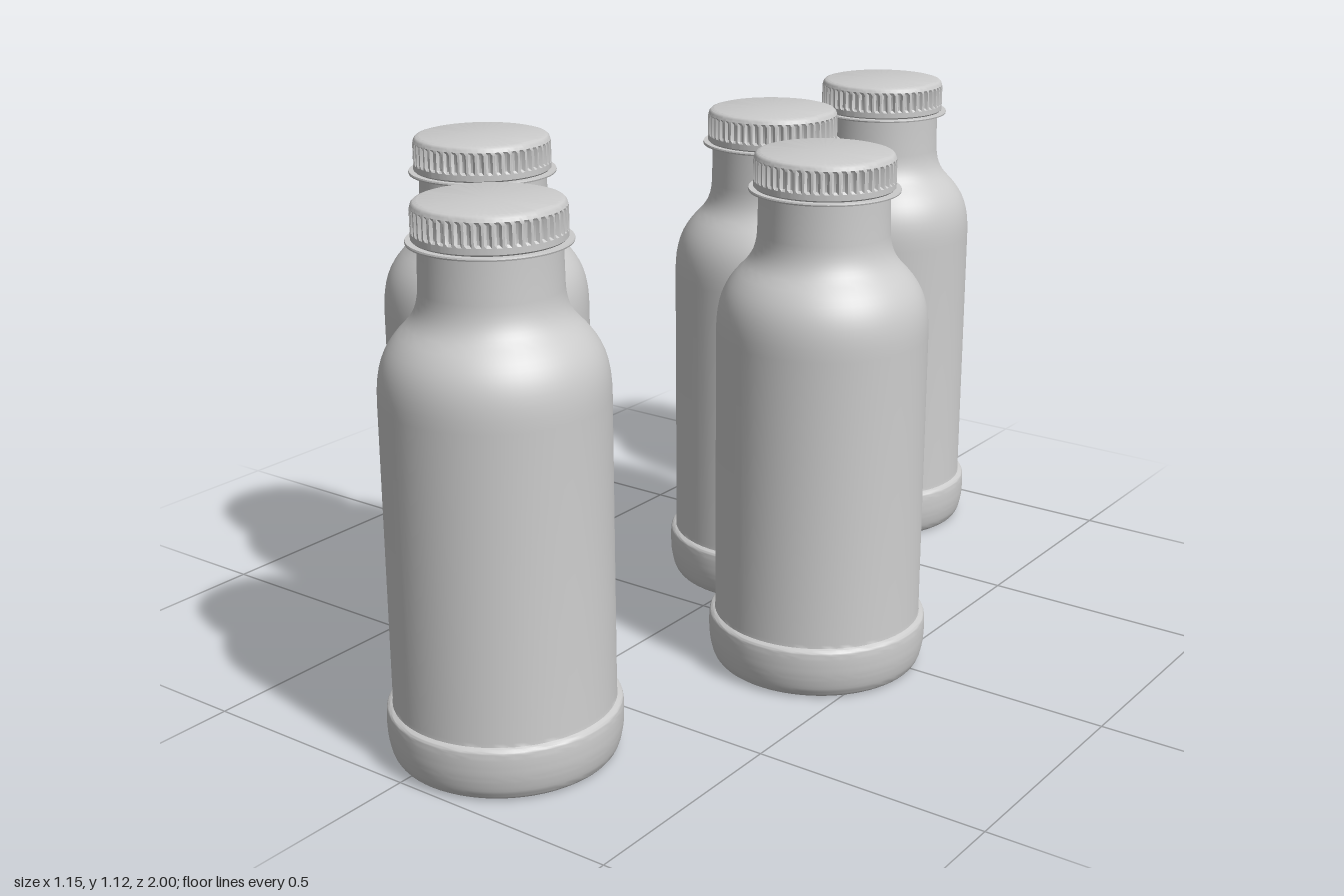
import * as THREE from 'three';
import { toCreasedNormals } from 'three/addons/utils/BufferGeometryUtils.js';

const material = new THREE.MeshStandardMaterial({ color: 0xcccccc });

// Bottle: flat underside, bulging foot band, straight wall, round shoulder, neck
function bottleGeometry() {
  const p = new THREE.Path();
  p.moveTo(0, 0.004);
  p.lineTo(0.2, 0.004);
  p.bezierCurveTo(0.222, 0, 0.228, 0.02, 0.232, 0.045);
  p.bezierCurveTo(0.235, 0.06, 0.235, 0.085, 0.234, 0.1);
  p.bezierCurveTo(0.234, 0.112, 0.23, 0.115, 0.222, 0.117);
  p.lineTo(0.221, 0.125);
  p.lineTo(0.221, 0.74);
  p.bezierCurveTo(0.221, 0.81, 0.206, 0.84, 0.178, 0.872);
  p.bezierCurveTo(0.155, 0.895, 0.14, 0.91, 0.137, 0.955);
  p.lineTo(0.135, 1.05);
  p.lineTo(0, 1.05);
  return toCreasedNormals(new THREE.LatheGeometry(p.getPoints(8), 72), 0.6);
}

// Thin collar under the cap
function collarGeometry() {
  const pts = [[0.13, 1.042], [0.156, 1.042], [0.157, 1.045], [0.156, 1.048], [0.13, 1.048]];
  return toCreasedNormals(new THREE.LatheGeometry(pts.map(([r, y]) => new THREE.Vector2(r, y)), 72), 0.6);
}

// Screw cap whose side band is fluted with evenly spaced grip ribs
function capGeometry() {
  const ribs = 50;
  const pts = [
    [0, 1.048], [0.143, 1.048], [0.146, 1.051], [0.146, 1.063], [0.1461, 1.068],
    [0.1461, 1.104], [0.145, 1.110], [0.143, 1.116], [0.139, 1.120], [0.132, 1.122], [0, 1.122],
  ];
  const geo = new THREE.LatheGeometry(pts.map(([r, y]) => new THREE.Vector2(r, y)), ribs * 4);
  const pos = geo.attributes.position;
  for (let i = 0; i < pos.count; i++) {
    const y = pos.getY(i);
    if (y < 1.066 || y > 1.106) continue;
    const step = Math.floor(i / pts.length) % 4;
    const k = step < 2 ? 1 : 0.965;
    pos.setX(i, pos.getX(i) * k);
    pos.setZ(i, pos.getZ(i) * k);
  }
  return toCreasedNormals(geo, 0.6);
}

export function createModel() {
  const parts = { body: bottleGeometry(), collar: collarGeometry(), cap: capGeometry() };
  const places = [[-0.012, -0.765], [-0.012, -0.285], [0.341, 0.05], [-0.343, 0.325], [0.068, 0.765]];
  const model = new THREE.Group();
  model.name = 'bottles';
  places.forEach(([x, z], i) => {
    const bottle = new THREE.Group();
    bottle.name = `bottle${i + 1}`;
    for (const [name, geo] of Object.entries(parts)) {
      const mesh = new THREE.Mesh(geo, material);
      mesh.name = name;
      bottle.add(mesh);
    }
    bottle.position.set(x, -0.003, z);
    model.add(bottle);
  });
  return model;
}
